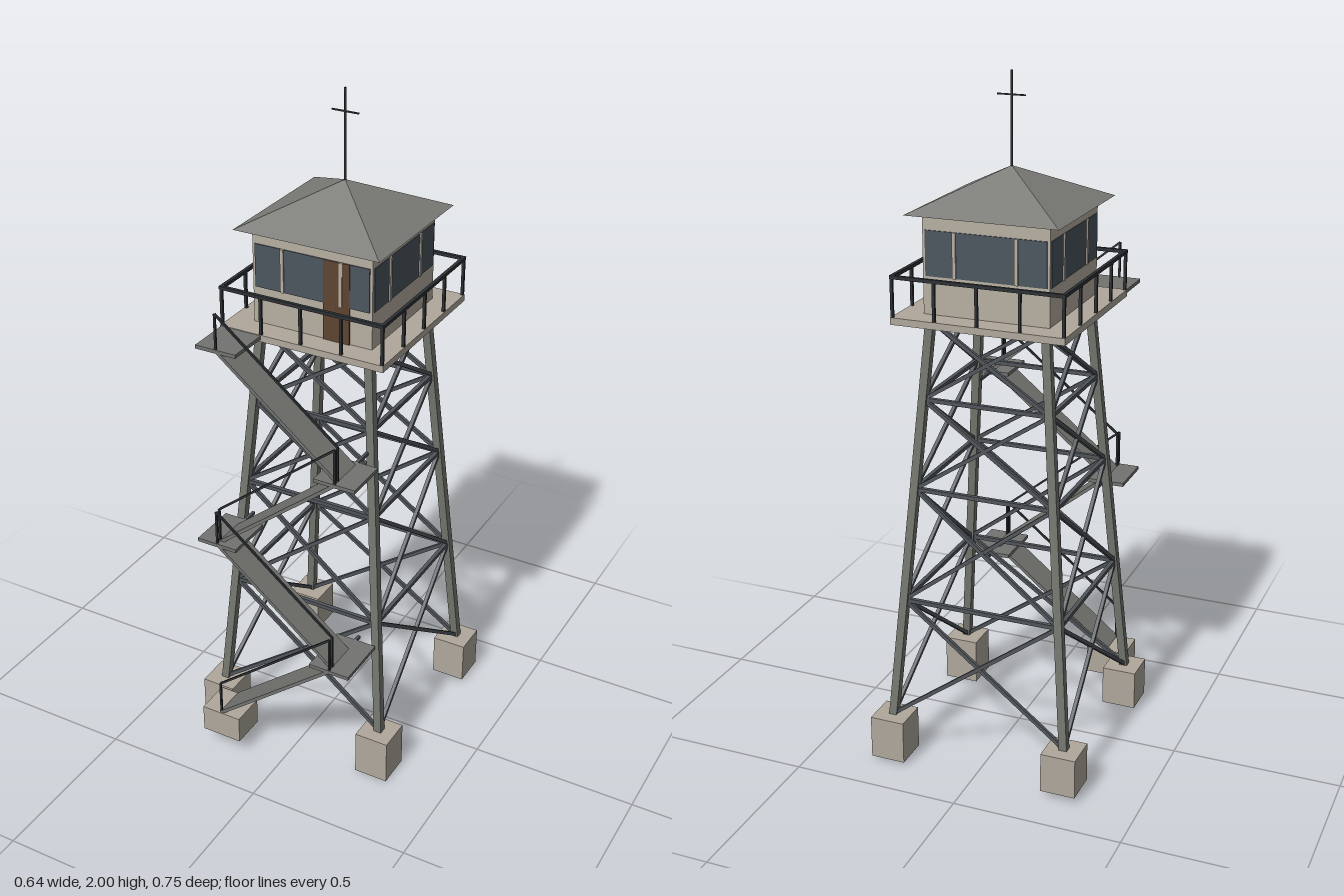
import * as THREE from 'three';

const mat = (name, color) => Object.assign(new THREE.MeshStandardMaterial({ color }), { name });

export function createModel() {
  const model = new THREE.Group();
  model.name = 'lookoutTower';
  const concrete = mat('concrete', 0xb0a89c);
  const wall = mat('wall', 0xb8b0a2);
  const steel = mat('legSteel', 0x74766f);
  const brace = mat('braceSteel', 0x50555a);
  const roofMat = mat('roof', 0x7c7c78);
  const stairMat = mat('stairSteel', 0x737470);
  const railMat = mat('railing', 0x2c3034);
  const glass = mat('glass', 0x4c555f);
  const wood = mat('doorWood', 0x5e4430);

  const CZ = -0.057; // tower axis
  const BASE = 0.14, DECK = 1.337, DECK_TOP = 1.357;

  const group = (name, parent = model) => {
    const g = new THREE.Group();
    g.name = name;
    parent.add(g);
    return g;
  };
  // Box given by its limits on each axis
  const box = (parent, name, m, [x0, x1], [y0, y1], [z0, z1]) => {
    const mesh = new THREE.Mesh(new THREE.BoxGeometry(x1 - x0, y1 - y0, z1 - z0), m);
    mesh.position.set((x0 + x1) / 2, (y0 + y1) / 2, (z0 + z1) / 2);
    mesh.name = name;
    parent.add(mesh);
    return mesh;
  };
  // Square bar between two points
  const bar = (parent, name, m, a, b, w) => {
    const p = new THREE.Vector3(...a), q = new THREE.Vector3(...b);
    const d = q.clone().sub(p);
    const mesh = new THREE.Mesh(new THREE.BoxGeometry(w, d.length(), w), m);
    mesh.position.copy(p).add(q).multiplyScalar(0.5);
    mesh.quaternion.setFromUnitVectors(new THREE.Vector3(0, 1, 0), d.normalize());
    mesh.name = name;
    parent.add(mesh);
  };

  // Half-width of the tapering frame at a height
  const half = (y) => 0.268 - (0.098 * (y - BASE)) / (DECK - BASE);
  const corners = [[1, 1], [1, -1], [-1, -1], [-1, 1]];
  const corner = (i, y) => [corners[i % 4][0] * half(y), y, CZ + corners[i % 4][1] * half(y)];

  // Footings, legs and bracing
  const frame = group('frame');
  const footBottom = [0, 0.01, 0.02, 0.02];
  const levels = [BASE, 0.505, 0.845, 1.11, DECK];
  for (let i = 0; i < 4; i++) {
    const [x, , z] = corner(i, BASE);
    box(frame, 'footing', concrete, [x - 0.052, x + 0.052], [footBottom[i], BASE], [z - 0.052, z + 0.052]);
    bar(frame, 'leg', steel, corner(i, BASE - 0.01), corner(i, DECK + 0.005), 0.024);
    for (let k = 0; k < 4; k++) {
      const lo = levels[k], hi = levels[k + 1];
      bar(frame, 'crossBrace', brace, corner(i, lo), corner(i + 1, hi), 0.011);
      bar(frame, 'crossBrace', brace, corner(i + 1, lo), corner(i, hi), 0.011);
      if (k) bar(frame, 'girt', brace, corner(i, lo), corner(i + 1, lo), 0.012);
    }
  }

  // Deck
  box(model, 'deck', concrete, [-0.253, 0.253], [DECK, DECK_TOP], [CZ - 0.253, CZ + 0.253]);

  // Deck railing and cabin windows, one side at a time
  const cabin = group('cabin');
  cabin.position.z = CZ;
  box(cabin, 'walls', wall, [-0.184, 0.184], [DECK_TOP, 1.636], [-0.184, 0.184]);
  for (let i = 0; i < 4; i++) {
    const side = group('cabinSide', cabin);
    side.rotation.y = (i * Math.PI) / 2;
    box(side, 'topRail', railMat, [-0.253, 0.253], [1.465, 1.475], [0.243, 0.253]);
    for (let k = -2; k < 2; k++) {
      const x = k * 0.124;
      box(side, 'railPost', railMat, [x - 0.004, x + 0.004], [DECK_TOP, 1.467], [0.244, 0.252]);
    }
    box(side, 'window', glass, [-0.176, 0.176], [1.465, 1.592], [0.183, 0.187]);
    for (const x of [-0.09, 0.09])
      box(side, 'mullion', wall, [x - 0.005, x + 0.005], [1.465, 1.592], [0.183, 0.191]);
  }
  box(cabin, 'door', wood, [0.037, 0.117], [DECK_TOP, 1.592], [0.183, 0.189]);

  // Hipped roof
  const roofGeo = new THREE.ConeGeometry(0.222 * Math.SQRT2, 0.11, 4, 1).toNonIndexed();
  roofGeo.rotateY(Math.PI / 4);
  roofGeo.computeVertexNormals();
  const roof = new THREE.Mesh(roofGeo, roofMat);
  roof.position.set(0, 1.69, CZ);
  roof.name = 'roof';
  model.add(roof);

  // Mast
  const mast = new THREE.Mesh(new THREE.CylinderGeometry(0.0035, 0.0035, 0.27, 8), railMat);
  mast.position.set(0, 1.865, CZ);
  mast.name = 'mast';
  model.add(mast);
  bar(model, 'mastCrossbar', railMat, [-0.041, 1.935, CZ], [0.041, 1.935, CZ], 0.004);

  // Zigzag stairs, each flight set a little closer to the tower
  const stairs = group('stairs');
  box(stairs, 'stairFooting', concrete, [-0.25, -0.123], [0.055, BASE], [0.27, 0.376]);
  const heights = [BASE, 0.44, 0.743, 1.046, 1.35];
  for (let i = 0; i < 4; i++) {
    const s = i % 2 ? -1 : 1; // climbing direction
    const y0 = heights[i], y1 = heights[i + 1];
    const outer = 0.373 - i * 0.016;
    const railZ = outer - 0.003;

    // Flight plate
    const flight = box(stairs, 'flight', stairMat, [0, Math.hypot(0.374, y1 - y0)], [0, 0.01], [outer - 0.1, outer]);
    flight.position.set(0, (y0 + y1) / 2, outer - 0.05);
    flight.rotation.z = s * Math.atan2(y1 - y0, 0.374);

    // Handrail with a post at each end
    const a = [-s * 0.187, y0, railZ], b = [s * 0.187, y1, railZ];
    const aTop = [a[0], y0 + 0.11, railZ], bTop = [b[0], y1 + 0.11, railZ];
    bar(stairs, 'stairPost', railMat, a, aTop, 0.006);
    bar(stairs, 'stairPost', railMat, b, bTop, 0.006);
    bar(stairs, 'handrail', railMat, aTop, bTop, 0.006);

    // Landing, with a strut back to the frame
    const inner = i === 3 ? 0.19 : 0.21;
    const xs = s > 0 ? [0.123, 0.25] : [-0.25, -0.123];
    box(stairs, 'landing', stairMat, xs, [y1 - 0.006, y1 + 0.005], [inner, outer + 0.002]);
    if (i < 3)
      bar(stairs, 'landingStrut', brace, [s * 0.184, y1, CZ + half(y1)], [s * 0.184, y1, inner + 0.01], 0.009);
  }
  return model;
}
